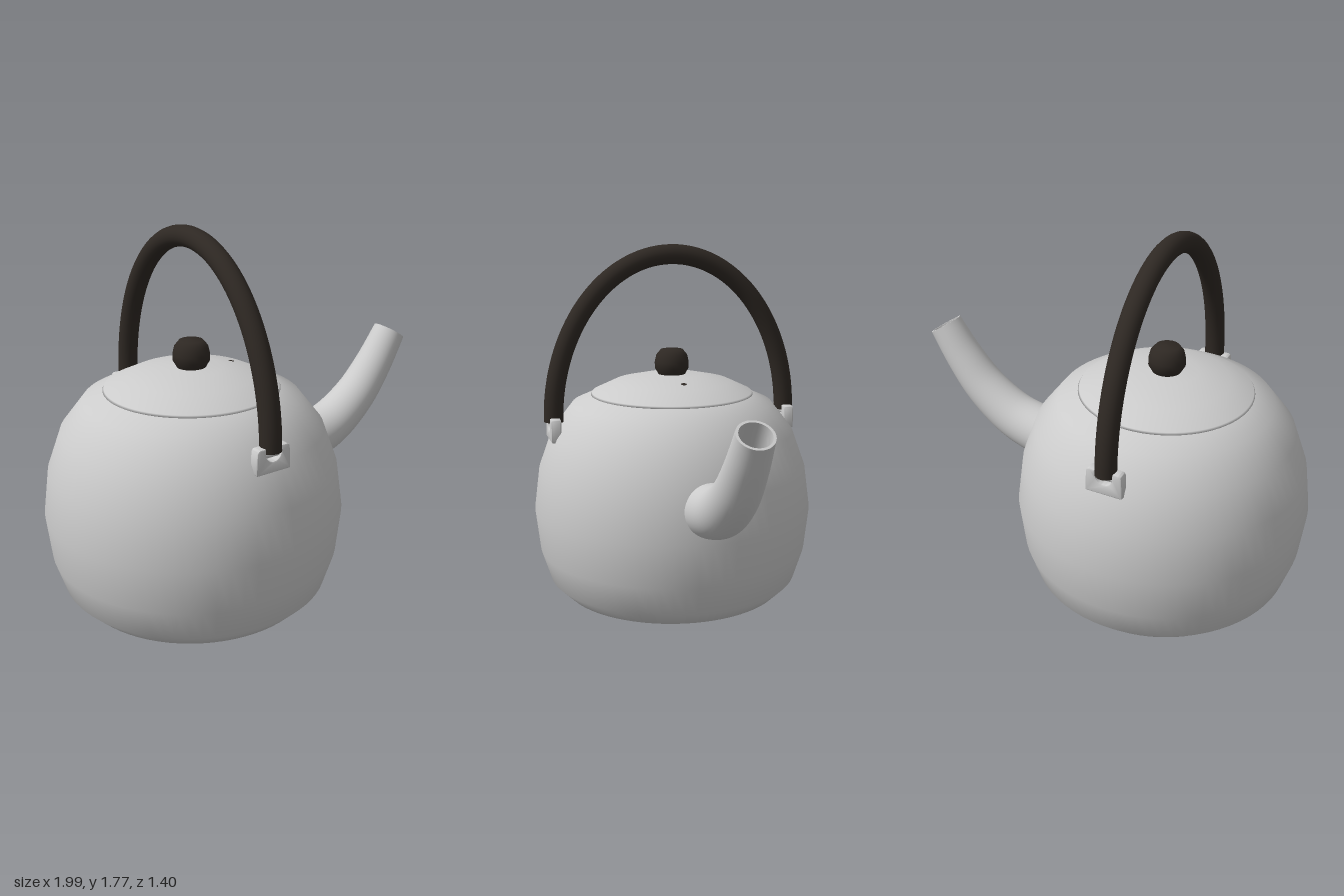
import * as THREE from 'three';
import { toCreasedNormals } from 'three/addons/utils/BufferGeometryUtils.js';

const metal = new THREE.MeshStandardMaterial({ color: 0xcccccc, side: THREE.DoubleSide });
const dark = new THREE.MeshStandardMaterial({ color: 0x2e2823 });
const AXIS_X = -0.3; // the vessel sits left of centre, balancing the spout

function part(name, geometry, material, parent) {
  const mesh = new THREE.Mesh(geometry, material);
  mesh.name = name;
  parent.add(mesh);
  return mesh;
}

const lathe = (points, segments = 72) =>
  new THREE.LatheGeometry(points.map(([r, y]) => new THREE.Vector2(r, y)), segments);

// Sweeps circles along a curve in the xy plane; each ring is [t, radius]
function sweep(curve, rings, sides = 40) {
  const pos = [], index = [];
  rings.forEach(([t, r], i) => {
    const c = curve.getPointAt(t), d = curve.getTangentAt(t);
    for (let j = 0; j <= sides; j++) {
      const a = (j / sides) * Math.PI * 2, n = r * Math.cos(a);
      pos.push(c.x - d.y * n, c.y + d.x * n, r * Math.sin(a));
      if (i && j < sides) {
        const q = i * (sides + 1) + j, p = q - sides - 1;
        index.push(p, p + 1, q, p + 1, q + 1, q);
      }
    }
  });
  const g = new THREE.BufferGeometry();
  g.setAttribute('position', new THREE.Float32BufferAttribute(pos, 3));
  g.setIndex(index);
  return toCreasedNormals(g, 0.7);
}

export function createModel() {
  const kettle = new THREE.Group();
  kettle.name = 'kettle';
  const vessel = new THREE.Group();
  vessel.name = 'vessel';
  vessel.position.x = AXIS_X;
  kettle.add(vessel);

  // Body and flat base
  part('body', lathe([[0.46, 0], [0.56, 0.03], [0.63, 0.1], [0.677, 0.25], [0.7, 0.46],
    [0.672, 0.67], [0.607, 0.85], [0.5, 0.988], [0.4, 1.032]]), metal, vessel);
  const base = part('base', new THREE.CircleGeometry(0.46, 72), metal, vessel);
  base.rotation.x = Math.PI / 2;

  // Lid with vent and knob
  part('lid', lathe([[0.39, 1.025], [0.406, 1.032], [0.4, 1.042], [0.29, 1.094],
    [0.146, 1.126], [0, 1.133]]), metal, vessel);
  const vent = part('vent', new THREE.CircleGeometry(0.014, 20), dark, vessel);
  vent.position.set(0.22, 1.113, 0);
  vent.rotation.set(-Math.PI / 2, -0.0, 0);
  vent.rotateY(0.22);
  part('knob', lathe([[0.06, 1.11], [0.07, 1.135], [0.085, 1.16], [0.085, 1.19], [0.077, 1.225],
    [0.055, 1.252], [0, 1.256]], 40), dark, vessel);

  // Arched handle: half an ellipse over the lid
  const arch = [];
  for (let i = 0; i <= 40; i++) {
    const a = (i / 40) * Math.PI;
    arch.push(new THREE.Vector3(0, 0.92 + 0.798 * Math.sin(a), 0.6 * Math.cos(a)));
  }
  part('handle', new THREE.TubeGeometry(new THREE.CatmullRomCurve3(arch), 72, 0.048, 20), dark, vessel);

  // Notched lugs, pins and handle ends, front and back
  const lug = new THREE.Shape();
  lug.moveTo(-0.08, 0.83);
  lug.lineTo(0.08, 0.83);
  lug.quadraticCurveTo(0.088, 0.83, 0.088, 0.84);
  lug.lineTo(0.084, 0.93);
  lug.quadraticCurveTo(0.08, 0.945, 0.065, 0.945);
  lug.lineTo(0.04, 0.945);
  lug.lineTo(0.04, 0.92);
  lug.absarc(0, 0.92, 0.04, 0, Math.PI, true);
  lug.lineTo(-0.04, 0.945);
  lug.lineTo(-0.065, 0.945);
  lug.quadraticCurveTo(-0.08, 0.945, -0.084, 0.93);
  lug.lineTo(-0.088, 0.84);
  lug.quadraticCurveTo(-0.088, 0.83, -0.08, 0.83);
  const lugGeometry = toCreasedNormals(new THREE.ExtrudeGeometry(lug, {
    depth: 0.034, bevelEnabled: true, bevelThickness: 0.008, bevelSize: 0.006,
    bevelOffset: -0.006, bevelSegments: 2, curveSegments: 10 }), 0.6);
  lugGeometry.translate(0, 0, 0.583);
  for (const side of [1, -1]) {
    const mount = new THREE.Group();
    mount.name = side > 0 ? 'frontMount' : 'backMount';
    mount.rotation.y = side > 0 ? 0 : Math.PI;
    vessel.add(mount);
    part('lug', lugGeometry, metal, mount);
    const pin = part('pin', new THREE.CylinderGeometry(0.016, 0.016, 0.13, 16), metal, mount);
    pin.rotation.z = Math.PI / 2;
    pin.position.set(0, 0.908, 0.6);
    const end = part('handleEnd', new THREE.CircleGeometry(0.048, 20), dark, mount);
    end.rotation.x = Math.PI / 2;
    end.position.set(0, 0.92, 0.6);
  }

  // Curved tapering spout, hollow at the mouth
  const path = new THREE.CatmullRomCurve3([[0.25, 0.6], [0.38, 0.615], [0.535, 0.665], [0.7, 0.785],
    [0.82, 0.93], [0.923, 1.09]].map(([x, y]) => new THREE.Vector3(x, y, 0)));
  const rings = [];
  const radius = (t) => 0.134 - 0.052 * t;
  for (let i = 0; i <= 28; i++) rings.push([i / 28, radius(i / 28)]);
  for (let i = 28; i >= 6; i--) rings.push([i / 28, radius(i / 28) - 0.012]);
  part('spout', sweep(path, rings), metal, kettle);

  return kettle;
}
